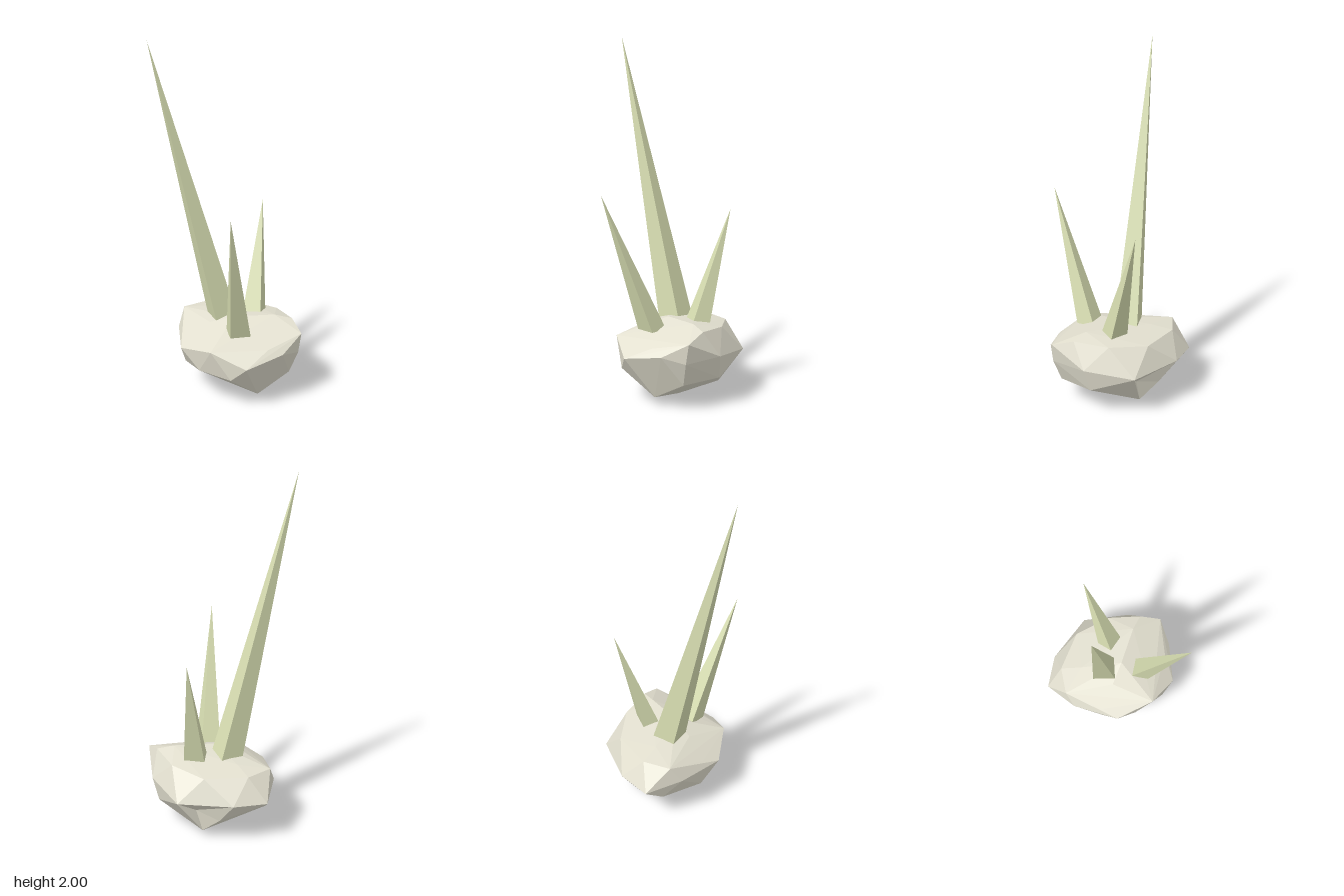
import * as THREE from 'three';
import { ConvexGeometry } from 'three/addons/geometries/ConvexGeometry.js';

const stone = new THREE.MeshStandardMaterial({ color: 0xe2dfcf, flatShading: true });
stone.name = 'pale stone';
const thorn = new THREE.MeshStandardMaterial({ color: 0xd8deb2, flatShading: true });
thorn.name = 'pale green';

// Corners of the faceted rock, in rings from the ground up
const rockRings = [
  [[0.03, 0, -0.03]],
  [[0, 0.05, 0.07], [0.22, 0.045, 0.11], [-0.05, 0.045, -0.26], [-0.18, 0.075, -0.04]],
  [[0.15, 0.19, 0.29], [-0.06, 0.195, 0.28], [0.34, 0.15, -0.04], [0.24, 0.16, -0.24], [-0.16, 0.14, -0.27], [-0.35, 0.18, -0.07], [-0.23, 0.16, 0.16]],
  [[0.24, 0.27, 0.275], [0.36, 0.31, 0.08], [0.39, 0.28, -0.05], [0.28, 0.29, -0.24], [0.04, 0.26, -0.39], [-0.26, 0.27, -0.3], [-0.405, 0.26, -0.17], [-0.19, 0.295, 0.265], [-0.355, 0.3, 0.04]],
  [[0.04, 0.345, 0.32], [0.4, 0.39, -0.065], [0.29, 0.34, 0.125], [-0.23, 0.335, 0.17]],
  [[-0.36, 0.4, -0.03], [-0.29, 0.4, -0.175], [-0.08, 0.4, -0.3], [0.14, 0.415, -0.26], [0.3, 0.43, -0.145]],
  [[0.21, 0.45, -0.1], [0.02, 0.445, 0.03], [-0.19, 0.42, -0.1], [-0.1, 0.41, 0.1]],
];

// Convex rock with one corner pushed in to make the hollow at the back
function rockGeometry() {
  const hollow = new THREE.Vector3(-0.02, 0.18, -0.35);
  const points = rockRings.flat().map((p) => new THREE.Vector3(...p));
  const g = new ConvexGeometry([...points, hollow]);
  const pos = g.attributes.position;
  const v = new THREE.Vector3();
  for (let i = 0; i < pos.count; i++) {
    if (v.fromBufferAttribute(pos, i).distanceTo(hollow) < 0.001) pos.setZ(i, -0.28);
  }
  g.computeVertexNormals();
  return g;
}

// Four-sided leaning spike: base height, base corners [x, z] and the tip
function spikeGeometry(y, corners, tip) {
  const ring = corners.map(([x, z]) => [x, y, z]);
  const pos = [];
  for (let i = 0; i < 4; i++) pos.push(...ring[i], ...tip, ...ring[(i + 1) % 4]);
  for (const i of [0, 1, 2, 0, 2, 3]) pos.push(...ring[i]);
  const g = new THREE.BufferGeometry();
  g.setAttribute('position', new THREE.Float32BufferAttribute(pos, 3));
  g.computeVertexNormals();
  return g;
}

export function createModel() {
  const model = new THREE.Group();
  model.name = 'spikedRock';

  const rock = new THREE.Mesh(rockGeometry(), stone);
  rock.name = 'rock';
  model.add(rock);

  // Corners run so that the side faces point outward
  const spikes = [
    ['tallSpike', 0.41, [[0.01, -0.03], [-0.067, 0.08], [-0.175, 0], [-0.095, -0.113]], [-0.35, 2, 0.285]],
    ['frontSpike', 0.395, [[0.18, 0.122], [0.096, 0.199], [0.024, 0.122], [0.108, 0.045]], [0.21, 1.15, 0.39]],
    ['backSpike', 0.41, [[0.121, -0.096], [0.017, -0.063], [-0.015, -0.16], [0.1, -0.195]], [0.01, 1.05, -0.315]],
  ];
  for (const [name, y, corners, tip] of spikes) {
    const spike = new THREE.Mesh(spikeGeometry(y, corners, tip), thorn);
    spike.name = name;
    model.add(spike);
  }
  return model;
}
